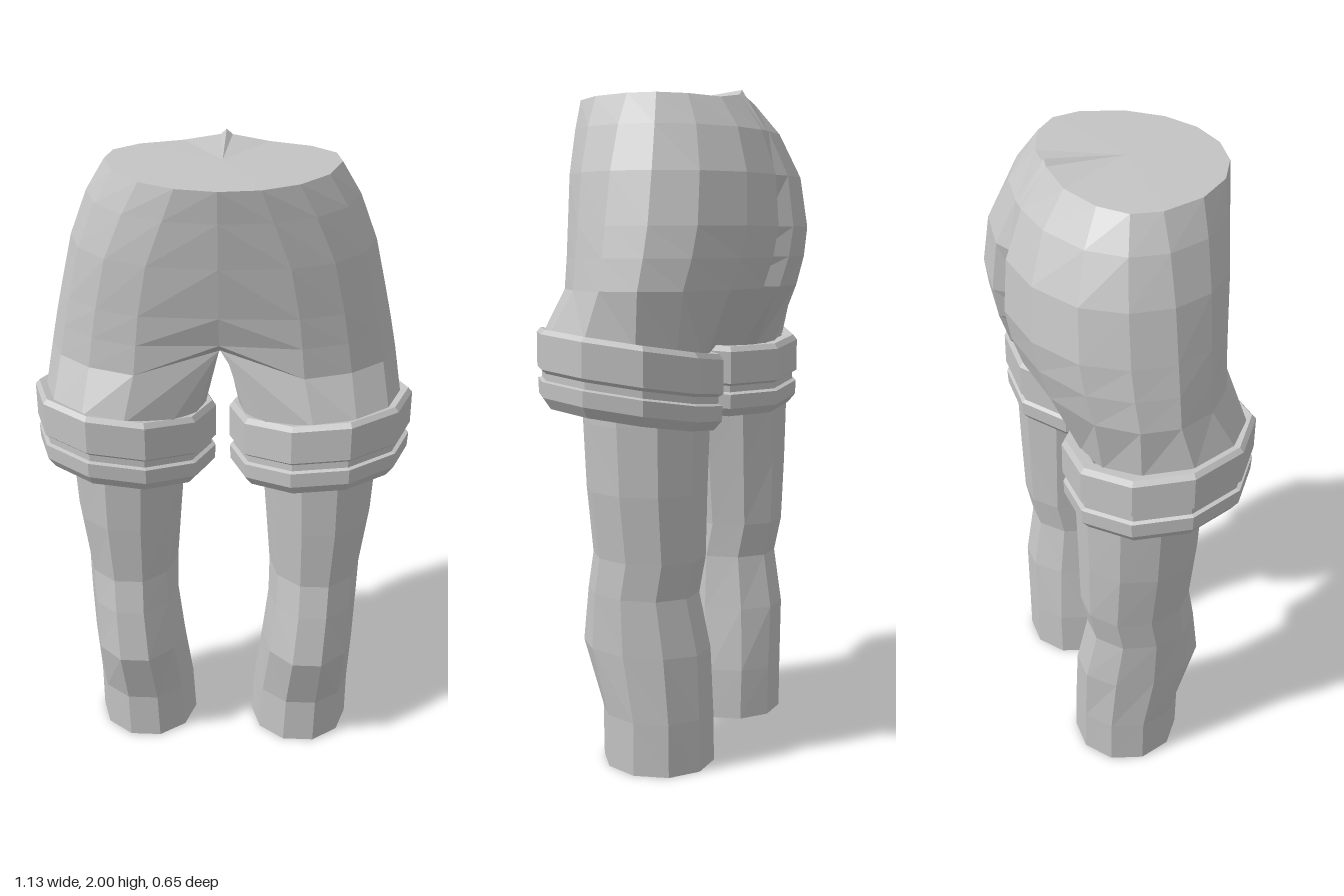
import * as THREE from 'three';

const cloth = new THREE.MeshStandardMaterial({ color: 0xc4c4c4, side: THREE.DoubleSide });
cloth.name = 'plain grey';

const rad = THREE.MathUtils.degToRad;

// Skin a list of rings (top to bottom) with flat facets; side = -1 mirrors in x.
function loft(name, rings, closed, side) {
  const pos = [];
  const put = (a, b, c) => {
    const area = b.clone().sub(a).cross(c.clone().sub(a)).length();
    if (area < 1e-7) return;
    for (const p of side > 0 ? [a, b, c] : [a, c, b]) pos.push(p.x * side, p.y, p.z);
  };
  for (let k = 0; k < rings.length - 1; k++) {
    const up = rings[k], low = rings[k + 1], n = up.length;
    for (let i = 0; i < (closed ? n : n - 1); i++) {
      const j = (i + 1) % n;
      put(up[i], up[j], low[i]);
      put(up[j], low[j], low[i]);
    }
  }
  const geo = new THREE.BufferGeometry();
  geo.setAttribute('position', new THREE.Float32BufferAttribute(pos, 3));
  geo.computeVertexNormals();
  const mesh = new THREE.Mesh(geo, cloth);
  mesh.name = name;
  return mesh;
}

// Half of a hip cross-section, from the back centre round the side to the front centre.
const hipAngles = [0, 3, 22, 48, 72, 95, 118, 140, 160, 180];
function hipRing([y, rx, front, back, cleft, power, crease]) {
  return hipAngles.map((deg, i) => {
    const c = Math.cos(rad(deg)), s = Math.max(0, Math.sin(rad(deg)));
    const last = i === hipAngles.length - 1;
    const x = i === 0 || last ? 0 : rx * Math.pow(s, power);
    let z = c > 0 ? back * c : -front * c;
    if (i === 0) z += cleft;
    if (last) z -= crease;
    return new THREE.Vector3(x, y, z);
  });
}

// Leg cross-section: 0 = inner side, 90 = back, 180 = outer side, 270 = front.
function legRing(angles, y, cx, rx, front, back, tilt = 0) {
  const cz = (front + back) / 2, rz = (front - back) / 2;
  return angles.map((deg) => {
    const x = cx - rx * Math.cos(rad(deg)), z = cz - rz * Math.sin(rad(deg));
    return new THREE.Vector3(x, y + tilt * (x - cx + z - cz), z);
  });
}
const tenSides = Array.from({ length: 10 }, (_, i) => i * 36);

// y, half width, front z, back z, cleft depth, squareness, front crease
const hipLevels = [
  [1.97, 0.33, 0.325, -0.18, 0, 1, 0],
  [1.88, 0.385, 0.315, -0.255, 0, 0.9, 0],
  [1.75, 0.435, 0.30, -0.31, 0.025, 0.75, 0],
  [1.60, 0.47, 0.285, -0.325, 0.075, 0.7, 0.01],
  [1.51, 0.49, 0.28, -0.31, 0.10, 0.7, 0.03],
  [1.42, 0.508, 0.28, -0.28, 0.14, 0.7, 0.09],
];

// y, centre x, half width, front z, back z
const legLevels = [
  [1.20, 0.298, 0.18, 0.18, -0.20],
  [1.04, 0.297, 0.178, 0.18, -0.20],
  [0.84, 0.30, 0.165, 0.17, -0.195],
  [0.64, 0.295, 0.145, 0.155, -0.19],
  [0.53, 0.292, 0.143, 0.175, -0.168],
  [0.36, 0.28, 0.15, 0.20, -0.20],
  [0.16, 0.265, 0.158, 0.14, -0.20],
  [0.00, 0.26, 0.162, 0.14, -0.20],
];

// cuff outline: height, radius
const cuffProfile = [
  [1.265, 0.225], [1.27, 0.26], [1.255, 0.272], [1.155, 0.272], [1.145, 0.258],
  [1.125, 0.258], [1.12, 0.27], [1.075, 0.268], [1.045, 0.245], [1.14, 0.18],
];

function buildHalf(side) {
  const half = new THREE.Group();
  half.name = side > 0 ? 'leftHalf' : 'rightHalf';

  // hips and seat
  const hips = hipLevels.map(hipRing);
  hips[0].forEach((p, i) => { if (i < 2) p.y = i ? 1.985 : 2; });
  const crotch = hips[hips.length - 1];
  crotch[crotch.length - 1].y = 1.47;
  half.add(loft('hips', hips, false, side));

  // flat waist cap
  const middle = hips[0].map(() => new THREE.Vector3(0, 1.975, 0.05));
  half.add(loft('waistCap', [middle, hips[0]], false, side));

  // thigh, joined to the hips through the crotch arch
  const frontEnd = crotch[crotch.length - 1], backEnd = crotch[0];
  const arch = [0.25, 0.5, 0.75].map((t) => frontEnd.clone().lerp(backEnd, t));
  const thighAngles = [50, 62, 85, 115, 145, 180, 215, 245, 275, 310, 335, 0, 25];
  half.add(loft('thigh', [
    [...crotch, ...arch],
    legRing(thighAngles, 1.26, 0.29, 0.238, 0.30, -0.18, 0.11),
  ], true, side));

  // stepped cuff, tilted down towards the inner back
  half.add(loft('cuff', cuffProfile.map(([y, r]) =>
    legRing(tenSides, y, 0.292, r, 0.047 + r * 1.02, 0.047 - r * 1.02, 0.11)), true, side));

  // lower leg, open at the hem
  half.add(loft('leg', legLevels.map((l) => legRing(tenSides, ...l)), true, side));
  return half;
}

export function createModel() {
  const model = new THREE.Group();
  model.name = 'shortsAndLegs';
  for (const side of [1, -1]) model.add(buildHalf(side));
  return model;
}
